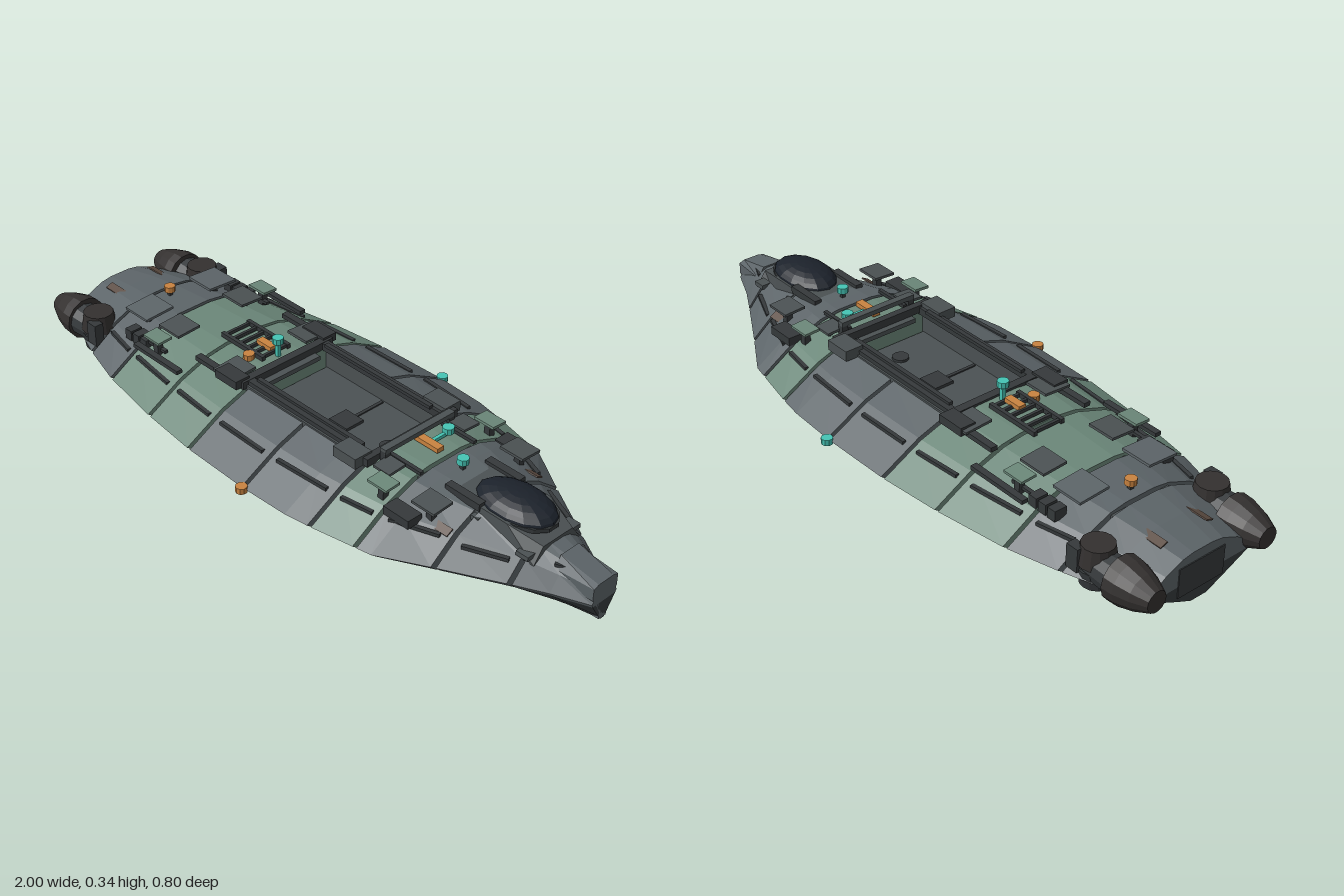
import * as THREE from 'three';

const mat = (color, extra = {}) => new THREE.MeshStandardMaterial({ color, flatShading: true, side: THREE.DoubleSide, ...extra });
const GREY = mat(0x5c6468), GREEN = mat(0x6b8779), UNDER = mat(0x363b3d), DARK = mat(0x35393b), MID = mat(0x4b5153),
  GLASS = mat(0x1c222b), BROWN = mat(0x33302f), RUST = mat(0x5a4a40), ORANGE = mat(0xc98340), TEAL = mat(0x45c4b4);

// Hull stations: x, half width, keel height, edge height, top height
const STATIONS = [
  [-0.96, 0.19, 0.07, 0.15, 0.225], [-0.85, 0.235, 0.06, 0.152, 0.245], [-0.74, 0.275, 0.048, 0.155, 0.257],
  [-0.59, 0.318, 0.035, 0.157, 0.265], [-0.365, 0.355, 0.02, 0.16, 0.273], [-0.165, 0.375, 0.01, 0.162, 0.278],
  [0.07, 0.38, 0.002, 0.163, 0.28], [0.23, 0.373, 0.006, 0.163, 0.28], [0.31, 0.36, 0.008, 0.162, 0.28],
  [0.5, 0.32, 0.018, 0.16, 0.278], [0.64, 0.237, 0.03, 0.157, 0.265], [0.81, 0.14, 0.055, 0.153, 0.243],
  [0.9, 0.09, 0.068, 0.15, 0.222], [1, 0.047, 0.082, 0.15, 0.2]];

function hullAt(x) {
  let i = 1;
  while (i < STATIONS.length - 1 && STATIONS[i][0] < x) i++;
  const a = STATIONS[i - 1], b = STATIONS[i], f = (x - a[0]) / (b[0] - a[0]);
  const [, w, k, e, t] = a.map((v, j) => v + (b[j] - v) * f);
  return { w, k, e, t };
}

// Closed [z, y] rings, mirrored about the centre plane
const mirrorRing = half => [...half, ...half.map(([z, y]) => [-z, y]).reverse()];
const knuckle = ({ w, e, k }) => [0.93 * w, e - 0.13 * (e - k)];
const upperRing = (x, bay) => {
  const h = hullAt(x), { w, e, t } = h;
  const side = [knuckle(h), [w, e], [0.66 * w, e + 0.6 * (t - e)]];
  const top = bay ? [[0.155, e + 0.88 * (t - e)], [0.15, 0.185]] : [[0.37 * w, e + 0.92 * (t - e)], [0.18 * w, t]];
  return mirrorRing([...side, ...top]);
};
const lowerRing = x => {
  const h = hullAt(x), { w, e, k } = h;
  return mirrorRing([[0.14 * w, k], [0.37 * w, e - 0.76 * (e - k)], knuckle(h)]);
};

// Skin matching rings along x and cap both ends
function loft(xs, ringAt) {
  const rings = xs.map(ringAt), n = rings[0].length, pos = [];
  const put = (s, i) => pos.push(xs[s], rings[s][i][1], rings[s][i][0]);
  for (let s = 0; s < xs.length - 1; s++) for (let i = 0; i < n; i++) {
    const j = (i + 1) % n;
    for (const [a, b] of [[s, i], [s, j], [s + 1, i], [s, j], [s + 1, j], [s + 1, i]]) put(a, b);
  }
  for (const s of [0, xs.length - 1]) {
    const tris = THREE.ShapeUtils.triangulateShape(rings[s].map(p => new THREE.Vector2(...p)), []);
    for (const [a, b, c] of tris) for (const i of s ? [a, c, b] : [a, b, c]) put(s, i);
  }
  // Ring is counter-clockwise in (z, y), so flip the winding to face outward
  for (let i = 0; i < pos.length; i += 9) for (let k = 0; k < 3; k++)
    [pos[i + 3 + k], pos[i + 6 + k]] = [pos[i + 6 + k], pos[i + 3 + k]];
  const g = new THREE.BufferGeometry();
  g.setAttribute('position', new THREE.Float32BufferAttribute(pos, 3));
  g.computeVertexNormals();
  return g;
}

export function createModel() {
  const root = new THREE.Group();
  root.name = 'ship';
  const add = (name, geo, m, x = 0, y = 0, z = 0) => {
    const o = new THREE.Mesh(geo, m);
    o.name = name;
    o.position.set(x, y, z);
    root.add(o);
    return o;
  };
  const box = (name, m, x, y, z, sx, sy, sz) => add(name, new THREE.BoxGeometry(sx, sy, sz), m, x, y, z);
  const both = fn => [1, -1].forEach(fn);
  // Height of the plating at x, z
  const deckY = (x, z) => {
    const { w, e, t } = hullAt(x), r = Math.abs(z) / w;
    const p = [[0, 1], [0.18, 1], [0.37, 0.92], [0.66, 0.6], [1, 0]];
    const i = Math.max(1, p.findIndex(q => q[0] >= r)), [a, b] = [p[i - 1], p[i]];
    return e + (t - e) * (a[1] + (b[1] - a[1]) * (r - a[0]) / (b[0] - a[0]));
  };

  // Armour segments separated by narrow gaps
  const seams = [-0.96, -0.745, -0.59, -0.365, -0.165, 0.07, 0.31, 0.45, 0.64, 0.81, 1];
  const green = [2, 3, 6];
  for (let i = 0; i < seams.length - 1; i++) {
    const a = seams[i] + (i ? 0.006 : 0), b = seams[i + 1] - (i < 9 ? 0.006 : 0);
    const xs = [a, ...STATIONS.map(s => s[0]).filter(x => x > a + 0.01 && x < b - 0.01), b];
    const bay = i === 4 || i === 5;
    add('upperHull', loft(xs, x => upperRing(x, bay)), green.includes(i) ? GREEN : GREY);
    add('lowerHull', loft(xs, lowerRing), UNDER);
    // Stringers on the sloping sides
    if (i > 0 && i < 9) both(s => {
      const m = (a + b) / 2, len = (b - a) * 0.8, z1 = hullAt(a).w * 0.74, z2 = hullAt(b).w * 0.74;
      const bar = box('stringer', DARK, m, deckY(m, (z1 + z2) / 2) + 0.002, s * (z1 + z2) / 2, len, 0.01, 0.012);
      bar.rotation.y = -s * Math.atan2(z2 - z1, b - a);
    });
    // Spine plate closing the gap under the deck
    if (i > 0 && ![5].includes(i)) box('spinePlate', MID, seams[i], hullAt(seams[i]).t - 0.022, 0, 0.04, 0.014, 0.2);
  }

  // Cargo bay
  box('bayFloor', MID, 0.072, 0.188, 0, 0.48, 0.012, 0.3);
  box('bayHatch', DARK, 0.07, 0.197, 0, 0.07, 0.012, 0.065);
  box('bayFloorSeam', DARK, 0.07, 0.195, 0, 0.01, 0.006, 0.28);
  add('bayDrain', new THREE.CylinderGeometry(0.025, 0.025, 0.01, 12), DARK, 0.235, 0.197, 0);
  both(s => {
    box('bayWall', MID, 0.072, 0.228, s * 0.152, 0.49, 0.084, 0.012);
    box('bayRail', DARK, 0.072, 0.272, s * 0.14, 0.49, 0.022, 0.024);
    box('railSlide', DARK, 0.06, 0.286, s * 0.128, 0.42, 0.01, 0.014);
    box('railMotor', MID, 0.27, 0.28, s * 0.168, 0.085, 0.032, 0.06);
    box('railBracket', DARK, -0.22, 0.278, s * 0.165, 0.09, 0.026, 0.05);
    box('railArm', DARK, -0.28, 0.272, s * 0.165, 0.18, 0.014, 0.022);
  });
  box('bayRearFrame', DARK, -0.18, 0.272, 0, 0.026, 0.024, 0.34);
  box('bayFrontFrame', DARK, 0.318, 0.278, 0, 0.022, 0.024, 0.34);
  box('gantryBeam', MID, 0.345, 0.308, 0, 0.022, 0.014, 0.26);
  both(s => box('gantryPost', DARK, 0.345, 0.288, s * 0.12, 0.02, 0.036, 0.02));

  // Boarding ladder behind the bay
  both(s => box('ladderRail', DARK, -0.31, 0.284, s * 0.048, 0.18, 0.014, 0.012));
  for (let i = 0; i < 6; i++) box('ladderRung', DARK, -0.39 + i * 0.032, 0.284, 0, 0.009, 0.01, 0.1);

  // Raised deck tiles and equipment, mirrored
  const tiles = [[-0.65, 0.12, 0.1, 0.1, GREY], [-0.51, 0.2, 0.07, 0.05, GREEN], [-0.51, 0.12, 0.09, 0.08, MID],
    [-0.24, 0.14, 0.08, 0.09, MID], [0.38, 0.14, 0.06, 0.06, MID], [0.42, 0.2, 0.07, 0.05, GREEN], [0.56, 0.165, 0.08, 0.07, MID]];
  const lifts = [0.288, 0.288, 0.29, 0.282, 0.285, 0.286, 0.282];
  both(s => {
    tiles.forEach(([x, z, sx, sz, m], i) => {
      box('deckTile', m, x, lifts[i], s * z, sx, 0.008, sz).rotation.x = s * 0.06;
      const base = deckY(x, z) - 0.01;
      box('tilePost', DARK, x, (base + lifts[i]) / 2, s * z, 0.02, lifts[i] - base, 0.02);
    });
    for (const x of [-0.64, -0.605, -0.57]) box('turretBlock', DARK, x, 0.238, s * 0.19, 0.028, 0.032, 0.04);
    box('turretBarrel', DARK, -0.53, 0.248, s * 0.195, 0.1, 0.009, 0.012);
    box('conduit', DARK, -0.47, 0.25, s * 0.235, 0.2, 0.012, 0.02);
    box('sideVent', DARK, 0.5, 0.235, s * 0.21, 0.09, 0.026, 0.05);
    box('deckPipe', DARK, 0.4, 0.284, s * 0.1, 0.12, 0.01, 0.012);
    box('rustPatch', RUST, 0.6, deckY(0.6, 0.17) + 0.001, s * 0.17, 0.06, 0.004, 0.025).rotation.x = s * 0.5;
    box('rustPatch', RUST, -0.87, deckY(-0.87, 0.08) + 0.002, s * 0.08, 0.07, 0.004, 0.025).rotation.x = s * 0.35;
  });

  // Engines: tapered tail cone, collar, pod and round cap
  const cone = new THREE.LatheGeometry([[0, 0], [0.032, 0], [0.052, 0.045], [0.064, 0.09], [0.066, 0.125], [0, 0.125]]
    .map(p => new THREE.Vector2(...p)), 14);
  both(s => {
    add('engineCone', cone, BROWN, -1, 0.18, s * 0.195).rotation.z = -Math.PI / 2;
    const pod = add('enginePod', new THREE.CylinderGeometry(0.045, 0.052, 0.11, 12), DARK, -0.82, 0.18, s * 0.2);
    pod.rotation.z = -Math.PI / 2;
    add('engineCap', new THREE.CylinderGeometry(0.045, 0.054, 0.055, 14), BROWN, -0.8, 0.215, s * 0.2);
    add('engineFoot', new THREE.CylinderGeometry(0.052, 0.045, 0.05, 14), DARK, -0.8, 0.15, s * 0.2);
    box('enginePylon', MID, -0.8, 0.18, s * 0.14, 0.12, 0.04, 0.12);
    box('engineClamp', DARK, -0.765, 0.2, s * 0.24, 0.04, 0.07, 0.03);
  });
  box('sternPlate', DARK, -0.955, 0.15, 0, 0.016, 0.09, 0.16);

  // Cockpit: housing, faceted canopy and side frames
  const housing = (x, h, wTop) => mirrorRing([[0.088, 0.2], [wTop, 0.2 + h]]);
  add('cockpitHousing', loft([0.53, 0.6, 0.74, 0.84], x => housing(x, x > 0.8 ? 0.045 : 0.073, x > 0.8 ? 0.055 : 0.082)), MID);
  const canopy = add('canopy', new THREE.SphereGeometry(1, 14, 6, 0, Math.PI * 2, 0, Math.PI / 2), GLASS, 0.7, 0.268, 0);
  canopy.scale.set(0.125, 0.042, 0.078);
  const visor = add('canopyRim', new THREE.CylinderGeometry(1, 1, 1, 14), DARK, 0.7, 0.266, 0);
  visor.scale.set(0.128, 0.012, 0.081);
  both(s => {
    box('canopyFrame', DARK, 0.59, 0.272, s * 0.075, 0.12, 0.022, 0.024);
    // Nose sensors
    const eye = box('noseSensor', DARK, 0.83, 0.19, s * 0.062, 0.05, 0.018, 0.018);
    eye.rotation.y = s * 0.4;
    box('noseVent', DARK, 0.9, 0.208, s * 0.04, 0.05, 0.012, 0.012).rotation.y = s * 0.4;
  });

  // Nose shield: broad above, narrow below
  add('noseShield', loft([0.88, 1], x => {
    const f = x < 0.95 ? 1.2 : 1;
    return mirrorRing([[0.014 * f, 0.085], [0.015 * f, 0.11], [0.046 * f, 0.165], [0.046 * f, 0.2], [0.028 * f, x < 0.95 ? 0.232 : 0.206]]);
  }), GREY);

  // Orange and teal marker lamps
  const lamp = (m, x, y, z, h = 0.018) => add('lamp', new THREE.CylinderGeometry(0.017, 0.017, h, 10), m, x, y, z);
  lamp(ORANGE, -0.705, 0.282, 0);
  box('lampStem', DARK, -0.705, 0.265, 0, 0.012, 0.03, 0.012);
  lamp(ORANGE, -0.262, 0.283, 0.068);
  lamp(ORANGE, 0.07, 0.163, 0.384);
  lamp(TEAL, 0.07, 0.163, -0.384);
  lamp(TEAL, -0.213, 0.33, 0);
  box('lampStem', TEAL, -0.213, 0.3, 0, 0.012, 0.05, 0.012);
  lamp(TEAL, 0.51, 0.303, 0);
  box('lampStem', DARK, 0.51, 0.285, 0, 0.012, 0.03, 0.012);
  lamp(TEAL, 0.385, 0.299, -0.075);
  box('lampStem', TEAL, 0.385, 0.29, -0.045, 0.01, 0.01, 0.06);
  box('handle', ORANGE, 0.387, 0.293, 0, 0.085, 0.014, 0.024);
  box('handle', ORANGE, -0.263, 0.292, 0, 0.06, 0.014, 0.024);
  return root;
}
